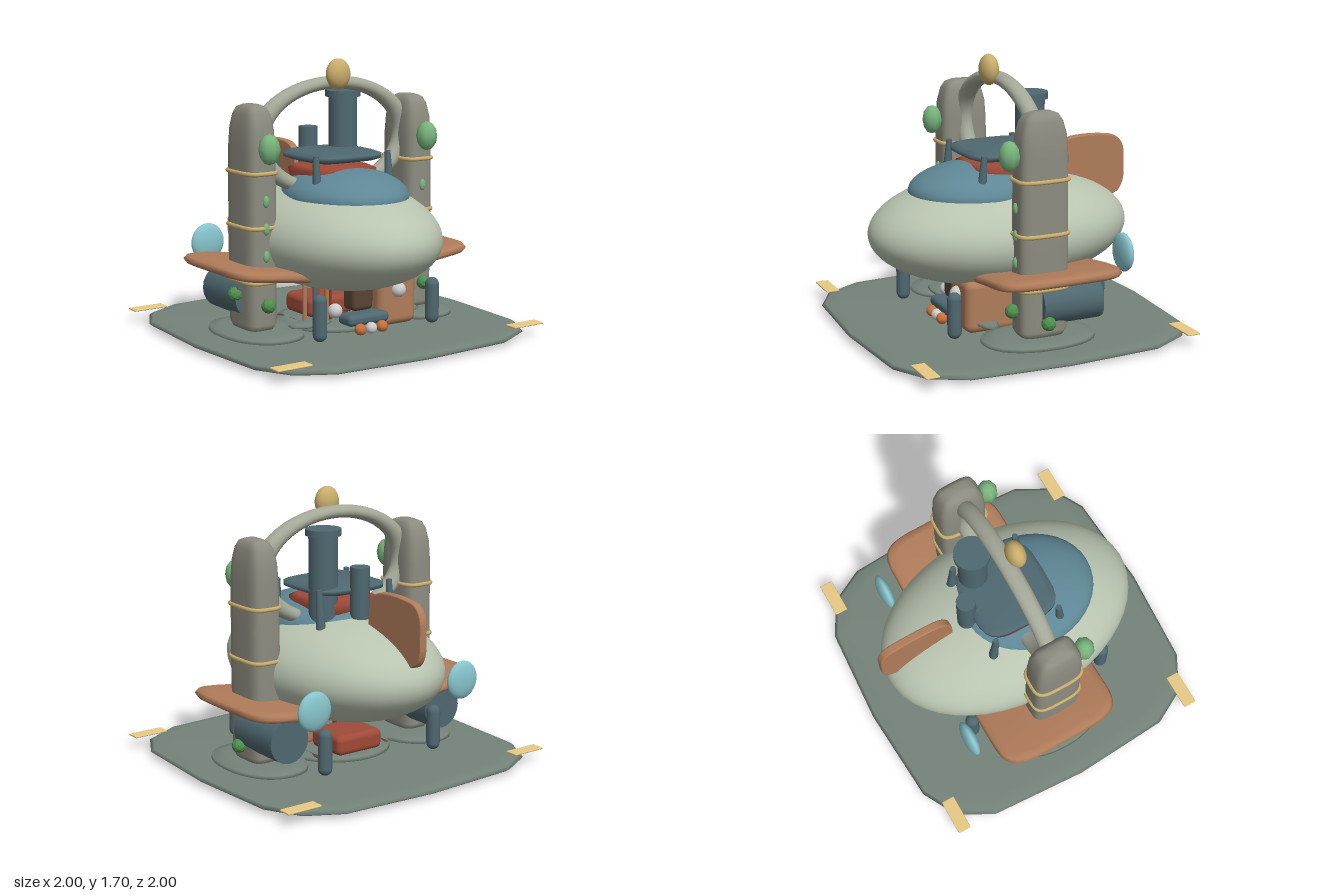
import * as THREE from 'three';
import { RoundedBoxGeometry } from 'three/addons/geometries/RoundedBoxGeometry.js';

const C = {
  plate: 0x74837a, hull: 0xb9c4b0, blue: 0x5f8796, slate: 0x4f6870, copper: 0xb07c5a, tower: 0x8c8c80,
  gold: 0xc9ad6b, pad: 0xe8c984, green: 0x79b57d, leaf: 0x4f8f4c, cyan: 0x87c4cc, red: 0xa04a38,
  brown: 0x5a4335, arch: 0xa4a898, white: 0xd8d8d4, orange: 0xc8703a,
};

// Point on a rounded-square outline; a lower power gives squarer corners
const outline = (a, power) => {
  const c = Math.cos(a), s = Math.sin(a);
  return [Math.sign(c) * Math.abs(c) ** power, Math.sign(s) * Math.abs(s) ** power];
};

// Stacks rounded-square rings [y, halfX, halfZ] into a closed solid
function loft(rings, power = 0.5, sides = 32) {
  const pos = [], index = [];
  const all = [[rings[0][0], 0, 0], ...rings, [rings.at(-1)[0], 0, 0]];
  all.forEach(([y, hx, hz], r) => {
    for (let i = 0; i < sides; i++) {
      const [x, z] = outline((i / sides) * Math.PI * 2, power);
      pos.push(x * hx, y, z * hz);
      if (r === all.length - 1) continue;
      const a = r * sides + i, b = r * sides + ((i + 1) % sides);
      index.push(a, a + sides, b, b, a + sides, b + sides);
    }
  });
  const g = new THREE.BufferGeometry();
  g.setAttribute('position', new THREE.Float32BufferAttribute(pos, 3));
  g.setIndex(index);
  g.computeVertexNormals();
  return g;
}

export function createModel() {
  const model = new THREE.Group();
  const add = (name, geo, color, x = 0, y = 0, z = 0, flat = false) => {
    const mesh = new THREE.Mesh(geo, new THREE.MeshStandardMaterial({ color, flatShading: flat }));
    mesh.name = name;
    mesh.position.set(x, y, z);
    model.add(mesh);
    return mesh;
  };
  const ball = (name, color, x, y, z, rx, ry = rx, rz = rx, w = 24, h = 16) =>
    add(name, new THREE.SphereGeometry(1, w, h).scale(rx, ry, rz), color, x, y, z);
  const rod = (name, color, x, y0, y1, z, r0, r1 = r0) =>
    add(name, new THREE.CylinderGeometry(r1, r0, y1 - y0, 24), color, x, (y0 + y1) / 2, z);

  // Ground pad
  add('groundPad', loft([[0.02, 0.9, 0.9], [0.03, 0.98, 0.98], [0.045, 1, 1], [0.06, 0.98, 0.98], [0.07, 0.9, 0.9]], 0.5, 16), C.plate);

  // Hull, canopy dome and cabin
  ball('hull', C.hull, 0, 0.63, 0, 0.57, 0.34, 0.84, 48, 32);
  add('canopy', new THREE.SphereGeometry(1, 40, 12, 0, Math.PI * 2, 0, Math.PI / 2).scale(0.37, 0.17, 0.45), C.blue, 0, 0.88, 0.13);
  add('cabin', loft([[0.92, 0.22, 0.22], [1.03, 0.24, 0.24], [1.05, 0.2, 0.2]], 0.6), C.red);
  add('roof', loft([[1.085, 0.22, 0.22], [1.1, 0.26, 0.26], [1.125, 0.26, 0.26], [1.14, 0.22, 0.22]], 0.5, 24), C.slate);

  // Chimneys
  rod('chimney', C.slate, 0.17, 0.9, 1.46, -0.13, 0.09);
  rod('chimneyRim', C.slate, 0.17, 1.45, 1.49, -0.13, 0.11);
  rod('ventPipe', C.slate, 0, 0.9, 1.26, -0.27, 0.06);

  // Tail fin
  const fin = new THREE.Shape();
  fin.moveTo(0.39, 0.85);
  fin.lineTo(0.39, 1.0);
  fin.quadraticCurveTo(0.4, 1.12, 0.5, 1.135);
  fin.quadraticCurveTo(0.63, 1.15, 0.76, 1.13);
  fin.quadraticCurveTo(0.86, 1.12, 0.865, 1.0);
  fin.lineTo(0.865, 0.86);
  fin.quadraticCurveTo(0.85, 0.74, 0.75, 0.755);
  const finGeo = new THREE.ExtrudeGeometry(fin, { depth: 0.03, bevelThickness: 0.01, bevelSize: 0.008, bevelSegments: 3 });
  add('tailFin', finGeo.translate(0, 0, -0.015).rotateY(Math.PI / 2), C.copper);

  // Arch between the towers, with its finial
  add('archRing', new THREE.TorusGeometry(1, 0.12, 20, 72).applyMatrix4(new THREE.Matrix4().makeScale(0.53, 0.33, 0.45)), C.arch, 0, 1.225, 0);
  ball('finial', C.gold, 0, 1.61, 0.065, 0.082, 0.095, 0.058);

  const towerRings = [
    [0.1, 0.085, 0.13], [0.14, 0.1, 0.155], [0.7, 0.103, 0.16], [1.2, 0.1, 0.155], [1.32, 0.093, 0.147],
    [1.4, 0.08, 0.125], [1.44, 0.062, 0.1], [1.455, 0.035, 0.06],
  ];
  const wingRings = [
    [-0.035, 0.24, 0.35], [-0.022, 0.285, 0.395], [0, 0.3, 0.41], [0.022, 0.285, 0.395], [0.035, 0.24, 0.35],
  ];

  for (const s of [1, -1]) {
    // Tower with gold bands and gems
    add('tower', loft(towerRings), C.tower, s * 0.58);
    for (const y of [0.4, 0.73, 1.055]) {
      const pts = Array.from({ length: 24 }, (_, i) => {
        const [x, z] = outline((i / 24) * Math.PI * 2, 0.5);
        return new THREE.Vector3(x * 0.103, 0, z * 0.16);
      });
      add('towerBand', new THREE.TubeGeometry(new THREE.CatmullRomCurve3(pts, true), 64, 0.013, 8, true), C.gold, s * 0.58, y, 0);
    }
    ball('towerGem', C.green, s * 0.58, 1.205, 0.2, 0.068, 0.092, 0.065, 8, 6);
    for (const y of [0.56, 0.725, 0.89]) ball('towerBead', C.green, s * 0.58, y, 0.16, 0.022, 0.036, 0.016, 12, 8);
    for (const [dx, y, z] of [[0, 0.265, 0.18], [0.125, s > 0 ? 0.2 : 0.32, 0], [-0.115, s > 0 ? 0.32 : 0.2, 0]]) {
      add('leafKnob', new THREE.IcosahedronGeometry(0.045, 1), C.leaf, s * (0.58 + dx), y, z, true);
    }
    add('towerFoot', loft([[0.06, 0.25, 0.36], [0.09, 0.24, 0.35], [0.105, 0.17, 0.27]], 0.9), C.plate, s * 0.56);

    // Side wing, curving up outwards
    const wing = loft(wingRings, 0.42, 40);
    const p = wing.attributes.position;
    for (let i = 0; i < p.count; i++) p.setY(i, p.getY(i) + 0.13 * p.getX(i) - 0.1 * p.getX(i) ** 2);
    wing.computeVertexNormals();
    const wingMesh = add('wing', wing, C.copper, s * 0.565, 0.46, -0.055);
    if (s < 0) wingMesh.rotation.y = Math.PI, wingMesh.position.z = -0.055;

    // Engine pod and propeller disc
    add('enginePod', new THREE.CylinderGeometry(0.135, 0.135, 0.39, 20).rotateX(Math.PI / 2), C.slate, s * 0.585, 0.295, -0.165);
    ball('propellerDisc', C.cyan, s * 0.56, 0.53, -0.575, 0.115, 0.12, 0.04);

    for (const z of [1, -1]) {
      add('landingLeg', new THREE.CapsuleGeometry(0.043, 0.2, 8, 16), C.slate, s * 0.415, 0.23, z * 0.48);
      add('cornerMarker', new RoundedBoxGeometry(0.23, 0.012, 0.085, 2, 0.005), C.pad, s * 0.85, 0.09, z * 0.845);
      // Posts that hold the roof, leaning inwards
      rod('roofPost', C.slate, s * 0.265, 0.9, 1.14, z * 0.225, 0.03, 0.018).rotation.x = z * -0.08;
    }
    // Runners under the floor
    add('runner', new RoundedBoxGeometry(0.045, 0.09, 0.48, 2, 0.02), C.brown, s * 0.26, 0.055, 0.02);
    add('floorStep', loft([[0.125, 0.13, 0.06], [0.135, 0.15, 0.07], [0.147, 0.13, 0.06]], 1), C.plate, s * 0.33, 0, 0.25);
  }

  // Furnishings sheltered beneath the hull
  add('floorDais', loft([[0.06, 0.36, 0.36], [0.09, 0.35, 0.35], [0.1, 0.3, 0.3]], 1), C.plate);
  add('stove', new RoundedBoxGeometry(0.28, 0.33, 0.34, 4, 0.05), C.copper, 0.24, 0.24, 0.21);
  add('seat', new RoundedBoxGeometry(0.34, 0.13, 0.3, 3, 0.04), C.red, 0, 0.155, -0.14);
  add('seatBase', new THREE.BoxGeometry(0.18, 0.1, 0.18), C.brown, 0, 0.06, 0);
  add('lantern', new RoundedBoxGeometry(0.15, 0.16, 0.13, 3, 0.03), C.brown, 0, 0.27, 0.28);
  add('tray', new RoundedBoxGeometry(0.3, 0.07, 0.14, 3, 0.03), C.slate, 0, 0.15, 0.34);
  for (const [x, c] of [[-0.08, C.orange], [0, C.white], [0.08, C.orange]]) ball('frontBall', c, x, 0.1, 0.42, 0.036);
  ball('stoveKnob', C.white, 0.23, 0.3, 0.38, 0.048);
  ball('loosePebble', C.white, -0.17, 0.2, 0.28, 0.045);
  [C.copper, C.slate, C.red, C.orange, C.brown].forEach((c, i) =>
    rod('hangingRod', c, -0.31 + i * 0.045, 0.12, 0.42, 0.16 + (i % 2) * 0.04, 0.014));

  return model;
}
